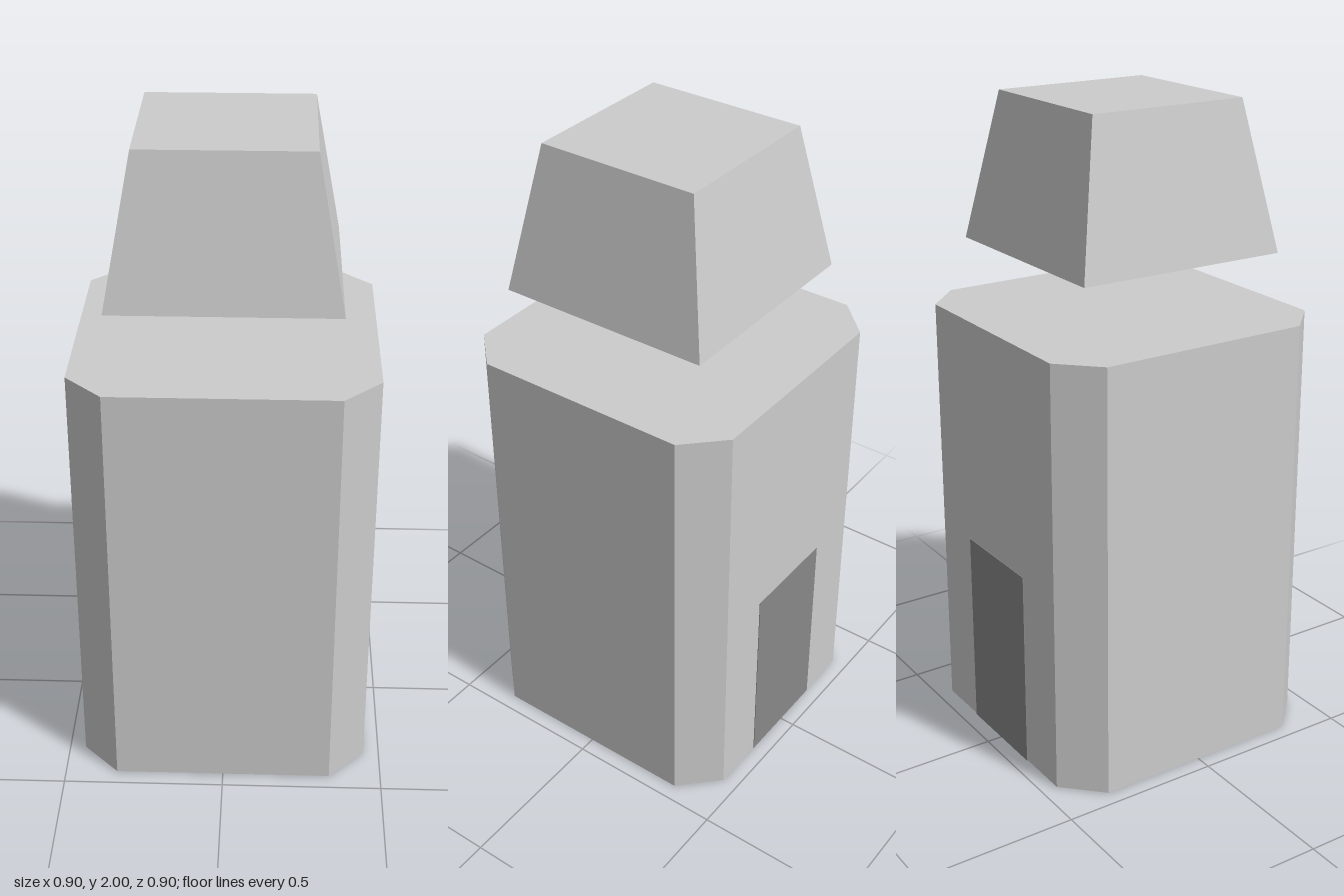
import * as THREE from 'three';

// Vertical prism from a plan outline of [x, z] points
function prism(points, height) {
  const shape = new THREE.Shape(points.map(([x, z]) => new THREE.Vector2(x, -z)));
  const geometry = new THREE.ExtrudeGeometry(shape, { depth: height, bevelEnabled: false });
  return geometry.rotateX(-Math.PI / 2);
}

export function createModel() {
  const group = new THREE.Group();
  const stone = new THREE.MeshStandardMaterial({ color: 0xcccccc });
  const darkStone = new THREE.MeshStandardMaterial({ color: 0x888888 });
  stone.name = 'stone';
  darkStone.name = 'darkStone';

  const add = (name, geometry, material, y) => {
    const mesh = new THREE.Mesh(geometry, material);
    mesh.name = name;
    mesh.position.y = y;
    group.add(mesh);
  };

  // Body: square tower with chamfered corners
  const a = 0.45, b = 0.337;
  add('body', prism([
    [b, a], [a, b], [a, -b], [b, -a], [-b, -a], [-a, -b], [-a, b], [-b, a],
  ], 1.355), stone, 0);

  // Doorway: block set into the back and base, a hair proud of both
  const w = 0.163, c = 0.04, back = -0.452, inner = 0.015;
  add('doorway', prism([
    [w, back], [w, inner - c], [w - c, inner], [c - w, inner], [-w, inner - c], [-w, back],
  ], 0.635), darkStone, -0.002);

  // Cap: tapered square block floating above the body
  const cap = new THREE.CylinderGeometry(0.254 * Math.SQRT2, 0.337 * Math.SQRT2, 0.45, 4)
    .rotateY(Math.PI / 4).toNonIndexed();
  cap.computeVertexNormals();
  add('cap', cap, stone, 1.775);

  return group;
}
